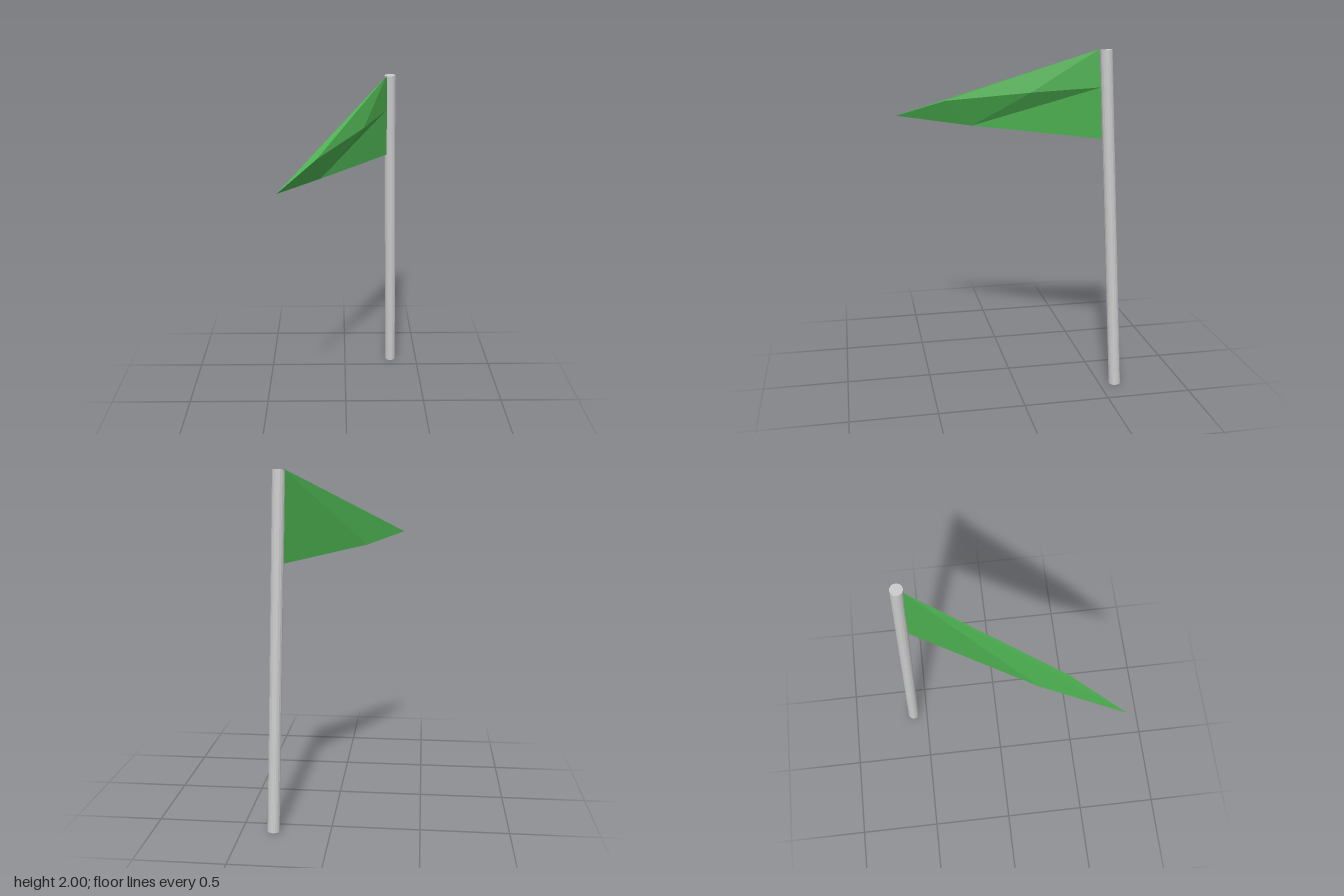
import * as THREE from 'three';

export function createModel() {
  const group = new THREE.Group();

  // Leaning pole
  const foot = new THREE.Vector3(0.32, 0.002, -0.595);
  const head = new THREE.Vector3(0.277, 1.998, -0.494);
  const axis = head.clone().sub(foot);
  const pole = new THREE.Mesh(
    new THREE.CylinderGeometry(0.035, 0.035, axis.length(), 16),
    new THREE.MeshStandardMaterial({ color: 0xcccccc, flatShading: true })
  );
  pole.name = 'pole';
  pole.position.copy(foot).add(head).multiplyScalar(0.5);
  pole.quaternion.setFromUnitVectors(new THREE.Vector3(0, 1, 0), axis.normalize());
  group.add(pole);

  // Faceted pennant: a folded front over a nearly flat back
  const p = {
    top: [0.255, 2.0, -0.46],
    mid: [0.262, 1.79, -0.475],
    low: [0.262, 1.5, -0.485],
    foldIn: [0.105, 1.75, -0.11],
    foldOut: [-0.16, 1.68, 0.35],
    hem: [-0.145, 1.53, 0.195],
    tip: [-0.36, 1.57, 0.63],
  };
  const faces = [
    // upper front
    [p.top, p.foldIn, p.mid], [p.top, p.foldOut, p.foldIn], [p.top, p.tip, p.foldOut],
    // lower front
    [p.mid, p.foldIn, p.hem], [p.foldIn, p.foldOut, p.hem],
    [p.foldOut, p.tip, p.hem], [p.mid, p.hem, p.low],
    // back
    [p.top, p.low, p.hem], [p.top, p.hem, p.tip],
  ];
  const geometry = new THREE.BufferGeometry();
  geometry.setAttribute('position', new THREE.Float32BufferAttribute(faces.flat(2), 3));
  geometry.computeVertexNormals();
  const flag = new THREE.Mesh(
    geometry,
    new THREE.MeshStandardMaterial({ color: 0x4caf50, flatShading: true, side: THREE.DoubleSide })
  );
  flag.name = 'flag';
  group.add(flag);

  return group;
}
